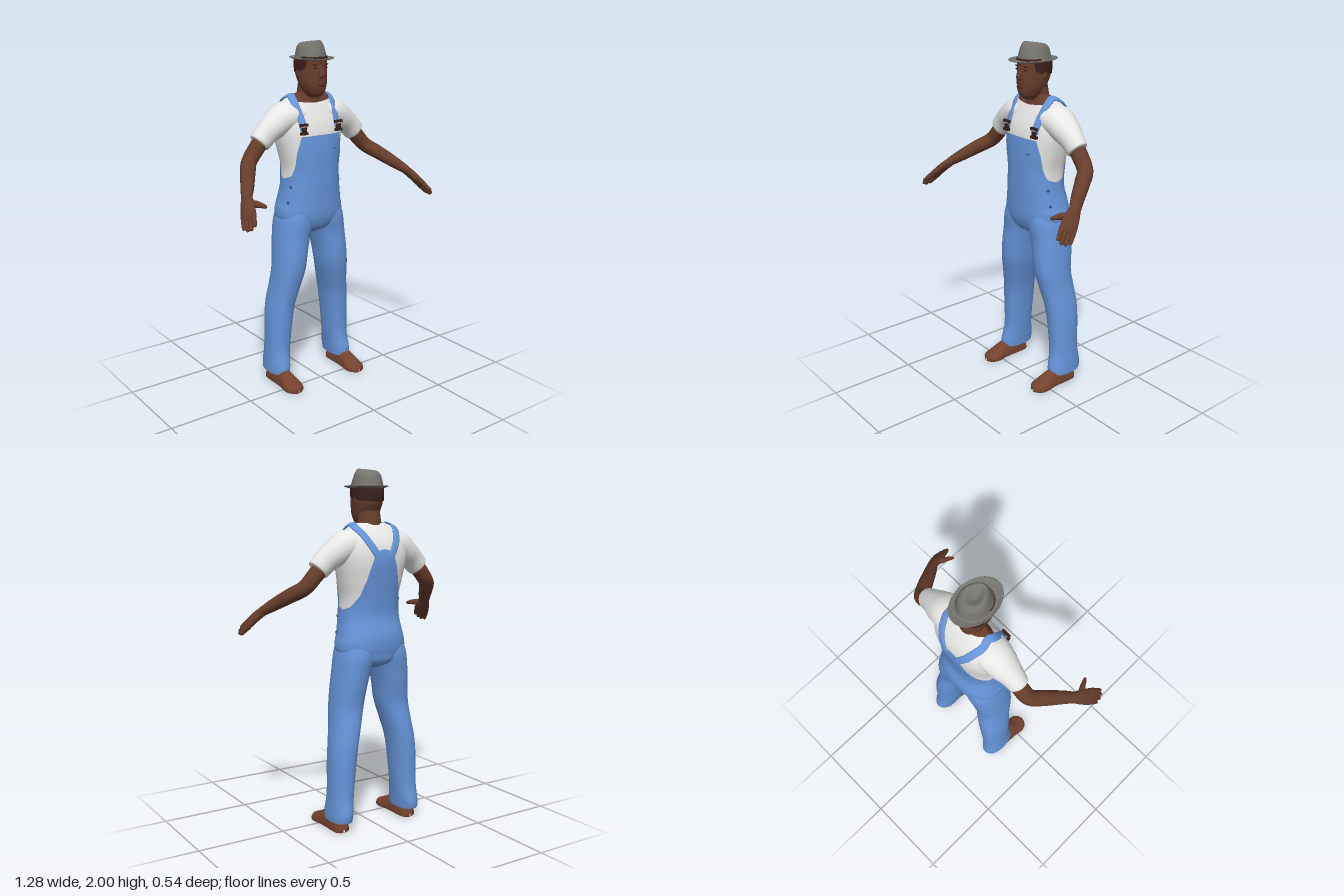
import * as THREE from 'three';

const paint = (name, color, side = THREE.FrontSide) =>
  Object.assign(new THREE.MeshStandardMaterial({ color, side }), { name });
const V = (x, y, z) => new THREE.Vector3(x, y, z);
const spow = (s, p) => Math.sign(s) * Math.abs(s) ** p;

// Interpolates the columns of rows keyed by their first value
function at(rows, t, smooth = true) {
  let i = 0;
  while (i < rows.length - 2 && t > rows[i + 1][0]) i++;
  const a = rows[i], b = rows[i + 1], h = b[0] - a[0];
  const s = THREE.MathUtils.clamp((t - a[0]) / h, 0, 1);
  const p = rows[Math.max(i - 1, 0)], q = rows[Math.min(i + 2, rows.length - 1)];
  return a.slice(1).map((v, k) => {
    const c = k + 1;
    if (!smooth) return v + (b[c] - v) * s;
    const m0 = (b[c] - p[c]) / (b[0] - p[0]) * h, m1 = (q[c] - v) / (q[0] - a[0]) * h;
    const s2 = s * s, s3 = s2 * s;
    return (2 * s3 - 3 * s2 + 1) * v + (s3 - 2 * s2 + s) * m0 + (3 * s2 - 2 * s3) * b[c] + (s3 - s2) * m1;
  });
}

// Closed skin: fn(angle, v) gives a point, the angle wraps round
function skinMesh(name, mat, nu, nv, fn) {
  const pos = [], idx = [];
  for (let j = 0; j <= nv; j++)
    for (let i = 0; i < nu; i++) pos.push(...fn(i / nu * Math.PI * 2, j / nv).toArray());
  for (let j = 0; j < nv; j++)
    for (let i = 0; i < nu; i++) {
      const k = (i + 1) % nu, a = j * nu + i, b = j * nu + k, c = b + nu, d = a + nu;
      idx.push(a, b, c, a, c, d);
    }
  const g = new THREE.BufferGeometry();
  g.setAttribute('position', new THREE.Float32BufferAttribute(pos, 3));
  g.setIndex(idx);
  g.computeVertexNormals();
  const m = new THREE.Mesh(g, mat);
  m.name = name;
  return m;
}

// Point on an oval ring [x0, x1, zFront, zBack]; angle 0 is the front
function ring([x0, x1, zf, zb], a, y, p = 1, off = 0) {
  return V((x0 + x1) / 2 + ((x1 - x0) / 2 + off) * spow(Math.sin(a), p), y,
    (zf + zb) / 2 + ((zf - zb) / 2 + off) * spow(Math.cos(a), p));
}
const sym = rows => rows.map(([y, h, f, b]) => [y, -h, h, f, b]);
const fold = a => (a > Math.PI ? 2 * Math.PI - a : a);

// Limb along points [x, y, z, radius along w, other radius]
function limb(name, mat, rows, w, nu = 18, steps = 6) {
  const curve = new THREE.CatmullRomCurve3(rows.map(r => V(r[0], r[1], r[2])));
  const radii = rows.map((r, i) => [i, r[3], r[4]]);
  return skinMesh(name, mat, nu, (rows.length - 1) * steps, (a, v) => {
    const T = curve.getTangent(v), W = w.clone().addScaledVector(T, -w.dot(T)).normalize();
    const N = T.clone().cross(W), [ra, rb] = at(radii, v * (rows.length - 1));
    return curve.getPoint(v).addScaledVector(W, Math.cos(a) * ra).addScaledVector(N, Math.sin(a) * rb);
  });
}

// Copy reflected to the other side
function mirrored(mesh) {
  const g = mesh.geometry.clone().applyMatrix4(mesh.matrix.compose(mesh.position, mesh.quaternion, mesh.scale));
  g.scale(-1, 1, 1);
  const ix = g.index.array;
  for (let i = 0; i < ix.length; i += 3) [ix[i], ix[i + 1]] = [ix[i + 1], ix[i]];
  const m = new THREE.Mesh(g, mesh.material);
  m.name = mesh.name.replace('left', 'right');
  return m;
}

const TORSO = sym([[.91, .03, -.07, -.16], [.94, .11, -.015, -.235], [1, .19, .012, -.255], [1.05, .198, .018, -.262],
  [1.1, .186, .02, -.26], [1.2, .17, .022, -.236], [1.3, .168, .021, -.242], [1.4, .188, .02, -.255],
  [1.5, .208, .012, -.266], [1.56, .212, -.004, -.261], [1.61, .205, -.026, -.245], [1.65, .18, -.045, -.22],
  [1.69, .13, -.065, -.185], [1.715, .07, -.07, -.16]]);
const torso = (a, y, off = 0) => ring(at(TORSO, y), a, y, .85, off);
const HEAD = sym([[1.69, .03, -.035, -.12], [1.705, .045, -.006, -.14], [1.735, .062, .008, -.155], [1.77, .074, .01, -.165],
  [1.81, .08, .009, -.185], [1.86, .082, .007, -.193], [1.91, .08, .004, -.185], [1.95, .06, -.025, -.155]]);
const head = (a, y, off = 0) => ring(at(HEAD, y), a, y, .95, off);

export function createModel() {
  const model = new THREE.Group();
  model.name = 'worker';
  const skin = paint('skin', 0x663d2b), hairMat = paint('hair', 0x3c211b), white = paint('shirt white', 0xeeeeec, THREE.DoubleSide);
  const denim = paint('denim', 0x6695da, THREE.DoubleSide), felt = paint('hat felt', 0x76746f), leather = paint('shoe leather', 0x74432f);
  const dark = paint('dark metal', 0x35211f), steel = paint('light metal', 0xa9a9ad), stitch = paint('dark denim', 0x3d5a8c), lip = paint('lips', 0x55291f);
  const add = (...m) => model.add(...m);
  const pair = m => add(m, mirrored(m));
  const blob = (name, mat, p, sx, sy, sz) => {
    const m = new THREE.Mesh(new THREE.SphereGeometry(1, 16, 10), mat);
    m.name = name; m.position.copy(p); m.scale.set(sx, sy, sz);
    return m;
  };
  const block = (name, mat, p, w, h, d) => {
    const m = new THREE.Mesh(new THREE.BoxGeometry(w, h, d), mat);
    m.name = name; m.position.copy(p);
    return m;
  };

  // Shirt body with scooped neckline, and skin below the collar
  const neckline = [[0, 1.66], [.8, 1.675], [1.57, 1.703], [3.15, 1.708]];
  add(skinMesh('shirtBody', white, 72, 40, (a, v) => torso(a, 1.1 + v * (at(neckline, fold(a))[0] - 1.1))));
  add(skinMesh('upperChest', skin, 48, 10, (a, v) => torso(a, 1.6 + v * .115, -.005)));
  add(limb('neck', skin, [[0, 1.66, -.12, .075, .066], [0, 1.71, -.117, .067, .06], [0, 1.78, -.105, .063, .06]], V(1, 0, 0), 28));

  // Overalls: bib in front, low sides, tapering back panel
  const hem = [[0, 1.49], [.6, 1.487], [.65, 1.46], [.83, 1.4], [1.0, 1.32], [1.2, 1.265], [1.6, 1.24], [2, 1.258],
    [2.4, 1.32], [2.65, 1.4], [2.85, 1.5], [2.94, 1.555], [3.15, 1.57]];
  add(skinMesh('overallsBody', denim, 128, 44, (a, v) => torso(a, .91 + v * (at(hem, fold(a), false)[0] - .91), .006)));

  // Trouser legs
  const LEG = [[.065, .165, .285, -.04, -.25], [.1, .162, .285, -.036, -.257], [.2, .15, .28, -.058, -.241], [.4, .13, .275, -.05, -.244],
    [.5, .115, .265, -.04, -.244], [.6, .09, .25, -.02, -.234], [.7, .065, .24, 0, -.223], [.8, .05, .231, .005, -.235],
    [.9, .028, .221, .003, -.247], [1, 0, .206, .01, -.255], [1.08, 0, .18, 0, -.235]];
  pair(skinMesh('leftTrouserLeg', denim, 40, 44, (a, v) => ring(at(LEG, .065 + v * 1.015), a, .065 + v * 1.015, .88)));

  // Shoulder straps laid over the torso, as [step, angle, height]
  const strapPath = [[.49, 1.525], [.545, 1.6], [.71, 1.65], [1, 1.68], [1.57, 1.697], [2.15, 1.68], [2.55, 1.65], [2.79, 1.6], [3, 1.53]]
    .map((r, i) => [i, ...r]);
  const onPath = t => torso(...at(strapPath, t));
  pair(skinMesh('leftStrap', denim, 12, 56, (u, v) => {
    const t = v * 8, [a, y] = at(strapPath, t), e = .002;
    const N = torso(a + e, y).sub(torso(a - e, y)).cross(torso(a, y + e).sub(torso(a, y - e))).normalize();
    const T = onPath(Math.min(t + .05, 8)).sub(onPath(Math.max(t - .05, 0))).normalize();
    const W = N.clone().cross(T).normalize();
    return torso(a, y).addScaledVector(N, .006 + .006 * spow(Math.cos(u), .6)).addScaledVector(W, -.021 * spow(Math.sin(u), .6));
  }));

  // Buckles, side buttons and bib mark
  const clip = torso(.49, 1.53, .012);
  const buckle = [['Bar', dark, .022, .052, .016, .014], ['Plate', steel, .014, .036, .006, .02],
    ['Neck', dark, 0, .026, .036, .014], ['Button', dark, -.024, .046, .014, .018]];
  for (const [n, mat, dy, w, h, d] of buckle)
    pair(block('leftBuckle' + n, mat, V(clip.x, 1.53 + dy, clip.z + .004), w, h, d));
  for (const y of [1.2, 1.11]) pair(blob('leftSideButton', stitch, torso(1.24, y, .006), .006, .009, .009));
  add(block('bibStitch', stitch, torso(.36, 1.405, .008), .022, .005, .006));

  // Sleeves and arms
  pair(limb('leftSleeve', white, [[.08, 1.59, -.125, .08, .1], [.16, 1.585, -.125, .085, .098], [.23, 1.545, -.123, .076, .085],
    [.285, 1.505, -.12, .067, .066], [.33, 1.46, -.118, .061, .056], [.333, 1.457, -.118, .042, .042]], V(.5, .85, 0), 28));
  pair(limb('leftArm', skin, [[.28, 1.505, -.12, .045, .045], [.345, 1.435, -.12, .045, .046], [.405, 1.368, -.105, .042, .044],
    [.455, 1.325, -.04, .04, .042], [.515, 1.268, .05, .033, .036], [.555, 1.23, .105, .025, .03]], V(.5, .85, 0), 22));

  // Hands
  const across = V(-.5, .55, .67).normalize();
  pair(limb('leftPalm', skin, [[.545, 1.24, .09, .03, .024], [.57, 1.205, .135, .042, .023], [.592, 1.165, .18, .048, .02],
    [.602, 1.147, .2, .044, .016], [.605, 1.142, .205, .004, .004]], across));
  [-.034, -.012, .011, .033].forEach((o, i) => {
    const len = [.75, .95, 1, .9][i], P = t => V(.59, 1.168, .176).add(V(.038, -.068, .074).multiplyScalar(t * len)).addScaledVector(across, o).toArray();
    pair(limb('leftFinger', skin, [[...P(0), .013, .014], [...P(.55), .013, .013], [...P(.92), .01, .01], [...P(1), .002, .002]], across, 10, 4));
  });
  pair(limb('leftThumb', skin, [[.567, 1.208, .125, .02, .018], [.542, 1.214, .168, .019, .016], [.525, 1.211, .203, .014, .012],
    [.513, 1.206, .226, .009, .008], [.51, 1.205, .231, .001, .001]], across, 12));

  // Shoes
  const SHOE = [[-.212, .004, .02], [-.2, .038, .06], [-.15, .047, .09], [-.08, .047, .1], [-.02, .05, .086], [.03, .058, .057],
    [.065, .051, .045], [.087, .03, .035], [.096, .003, .02]];
  pair(skinMesh('leftShoe', leather, 32, 40, (a, v) => {
    const z = -.212 + v * .308, [w, h] = at(SHOE, z), c = Math.cos(a);
    return V(.227 - w * spow(Math.sin(a), .8), c > 0 ? .015 + (h - .015) * c : .015 - .015 * Math.abs(c) ** .35, z);
  }));

  // Head, hair and face
  add(skinMesh('head', skin, 48, 32, (a, v) => head(a, 1.69 + v * .25)));
  const hairline = [[0, 1.9], [.95, 1.9], [1.03, 1.852], [1.35, 1.838], [1.8, 1.83], [3.15, 1.82]];
  add(skinMesh('hair', hairMat, 72, 8, (a, v) => {
    const y0 = at(hairline, fold(a), false)[0];
    return head(a, y0 + v * (1.915 - y0), .004);
  }));
  add(limb('nose', skin, [[0, 1.872, .002, .008, .006], [0, 1.842, .009, .01, .01], [0, 1.816, .015, .017, .014],
    [0, 1.804, .008, .015, .01], [0, 1.798, .004, .002, .002]], V(1, 0, 0), 14));
  pair(blob('leftEye', hairMat, head(.42, 1.855), .013, .005, .004));
  pair(blob('leftEyebrow', hairMat, head(.42, 1.873), .019, .004, .004));
  pair(blob('leftEar', skin, V(.08, 1.825, -.1), .008, .026, .016));
  add(blob('mouth', lip, head(0, 1.762), .026, .008, .006));

  // Hat: under the brim, over its edge, up the pinched crown and into the dent
  const HAT = [[1.893, .06, -.03, -.15], [1.894, .085, .015, -.195], [1.903, .106, .061, -.231], [1.909, .106, .062, -.232], [1.903, .097, .03, -.211],
    [1.905, .087, .008, -.194], [1.94, .08, 0, -.186], [1.978, .072, -.012, -.176], [2, .056, -.024, -.156],
    [1.996, .038, -.038, -.138], [1.982, .018, -.06, -.115], [1.978, .001, -.085, -.09]].map(([y, h, f, b], i) => [i, y, -h, h, f, b]);
  add(skinMesh('hat', felt, 48, 66, (a, v) => {
    const [y, ...r] = at(HAT, v * (HAT.length - 1)), p = ring(r, a, y), up = Math.max(0, y - 1.9);
    p.x *= 1 - 3 * up * Math.max(0, Math.cos(a));
    p.y -= up * 1.5 * Math.max(0, -p.z - .024);
    return p;
  }));
  return model;
}
